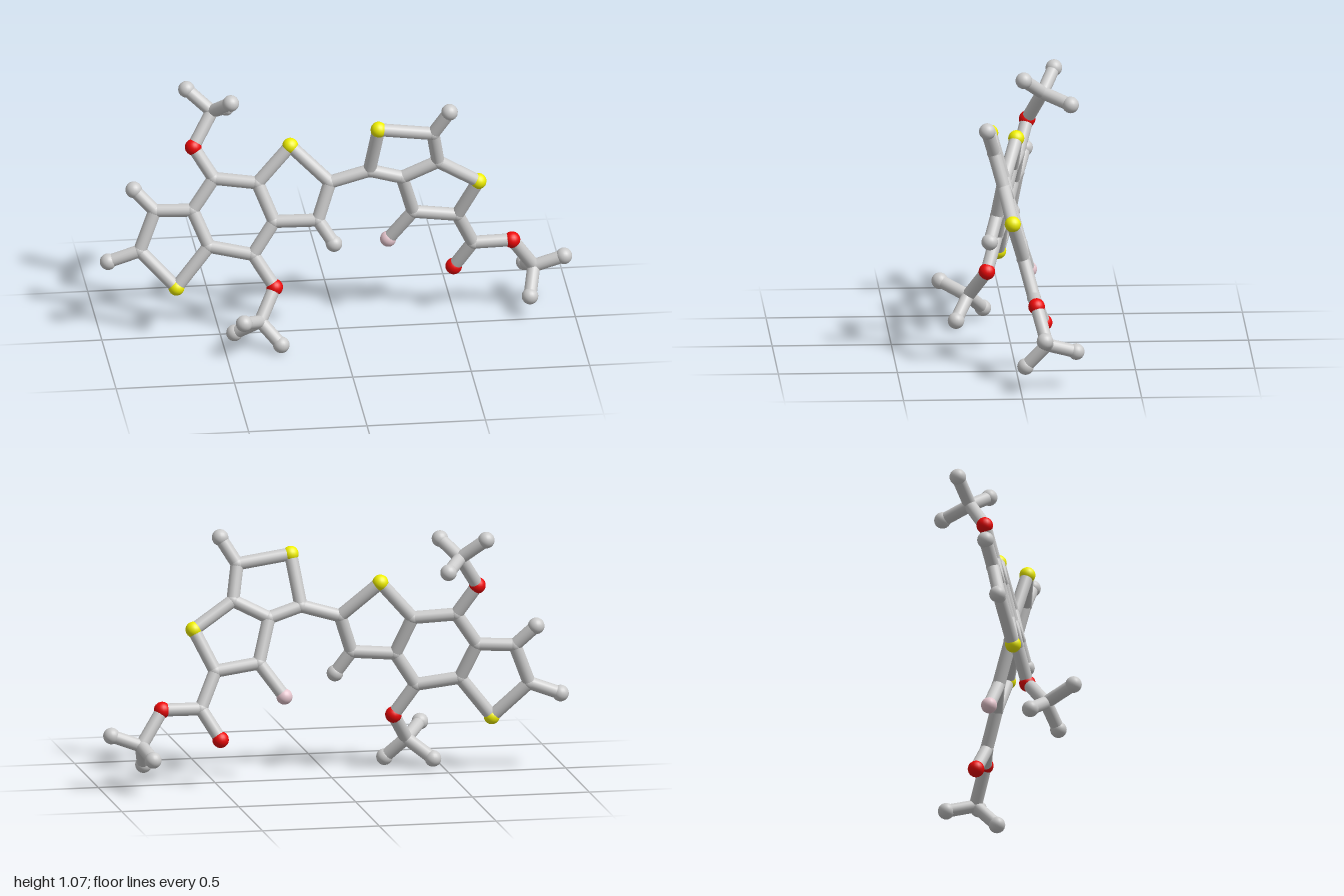
import * as THREE from 'three';

const STICK = 0.0275;
const material = (color) => new THREE.MeshStandardMaterial({ color });
const mats = {
  grey: material(0xcccccc), S: material(0xf0f000), O: material(0xee0808), F: material(0xe8c8d0),
};
const kinds = {
  C: { radius: 0.0295, mat: mats.grey, name: 'carbonJoint' },
  H: { radius: 0.035, mat: mats.grey, name: 'hydrogenBall' },
  S: { radius: 0.034, mat: mats.S, name: 'sulfurBall' },
  O: { radius: 0.035, mat: mats.O, name: 'oxygenBall' },
  F: { radius: 0.034, mat: mats.F, name: 'fluorineBall' },
};

// Each flat ring system lies in a tilted plane that supplies z.
const planeA = (x, y) => 0.187 + 0.173 * x - 0.224 * y;
const planeB = (x, y) => -0.176 + 0.021 * x + 0.279 * y;

// Adds balls for a table of atoms (first letter = kind) and sticks for chains of atom names.
function buildPart(name, plane, atoms, chains) {
  const group = new THREE.Group();
  group.name = name;
  const points = {};
  for (const [key, [x, y, z]] of Object.entries(atoms)) {
    const kind = kinds[key[0]];
    points[key] = new THREE.Vector3(x, y, z ?? plane(x, y));
    const ball = new THREE.Mesh(new THREE.SphereGeometry(kind.radius, 20, 14), kind.mat);
    ball.name = kind.name;
    ball.position.copy(points[key]);
    group.add(ball);
  }
  for (const chain of chains) {
    const keys = chain.split(' ');
    for (let i = 1; i < keys.length; i++) {
      group.add(stick(points[keys[i - 1]], points[keys[i]]));
    }
  }
  return { group, points };
}

function stick(a, b) {
  const dir = b.clone().sub(a);
  const mesh = new THREE.Mesh(
    new THREE.CylinderGeometry(STICK, STICK, dir.length(), 18, 1, true), mats.grey);
  mesh.name = 'bond';
  mesh.position.copy(a).add(b).multiplyScalar(0.5);
  mesh.quaternion.setFromUnitVectors(new THREE.Vector3(0, 1, 0), dir.normalize());
  return mesh;
}

export function createModel() {
  const model = new THREE.Group();
  model.name = 'stickMolecule';

  // Three fused rings with a side group above and below
  const left = buildPart('tripleRing', planeA, {
    S1: [-0.687, 0.235], C2: [-0.835, 0.385], C3: [-0.768, 0.555], C4: [-0.612, 0.56],
    C5: [-0.548, 0.41], C6: [-0.52, 0.695], C7: [-0.34, 0.68], C8: [-0.275, 0.52],
    C9: [-0.366, 0.38], S2: [-0.2, 0.838], C10: [-0.04, 0.69], C11: [-0.094, 0.53],
    H2: [-0.967, 0.337], H3: [-0.853, 0.64], H11: [-0.03, 0.433],
    // upper side group
    O1: [-0.602, 0.824], C12: [-0.516, 0.957, -0.162],
    H4: [-0.617, 1.04, -0.215], H5: [-0.446, 1.026, -0.08], H6: [-0.443, 0.92, -0.276],
    // lower side group
    O2: [-0.28, 0.245], C13: [-0.35, 0.125, 0.16],
    H7: [-0.432, 0.171, 0.274], H8: [-0.451, 0.048, 0.092], H9: [-0.268, 0.038, 0.214],
  }, [
    'S1 C2 C3 C4 C5 S1', 'C4 C6 C7 C8 C9 C5', 'C7 S2 C10 C11 C8',
    'C2 H2', 'C3 H3', 'C11 H11',
    'C6 O1 C12 H4', 'H5 C12 H6', 'C9 O2 C13 H7', 'H8 C13 H9',
  ]);

  // Two fused rings with a branched tail
  const right = buildPart('doubleRing', planeB, {
    C1: [0.126, 0.738], S1: [0.158, 0.95], C2: [0.388, 0.918], C3: [0.414, 0.77],
    C4: [0.265, 0.695], S2: [0.588, 0.658], C5: [0.505, 0.487], C6: [0.318, 0.513],
    H1: [0.454, 1.027], F1: [0.217, 0.374],
    // tail
    C7: [0.575, 0.337], O1: [0.5, 0.211, -0.116], O2: [0.741, 0.339, -0.072],
    C8: [0.838, 0.197, -0.112],
    H2: [0.963, 0.242, -0.096], H3: [0.811, 0.098, -0.022], H4: [0.812, 0.16, -0.235],
  }, [
    'C1 S1 C2 C3 C4 C1', 'C3 S2 C5 C6 C4', 'C2 H1', 'C6 F1',
    'C5 C7 O1', 'C7 O2 C8 H2', 'H3 C8 H4',
  ]);

  // Stick joining the two ring systems
  const link = stick(left.points.C10, right.points.C1);
  link.name = 'linkBond';
  model.add(left.group, right.group, link);
  return model;
}
